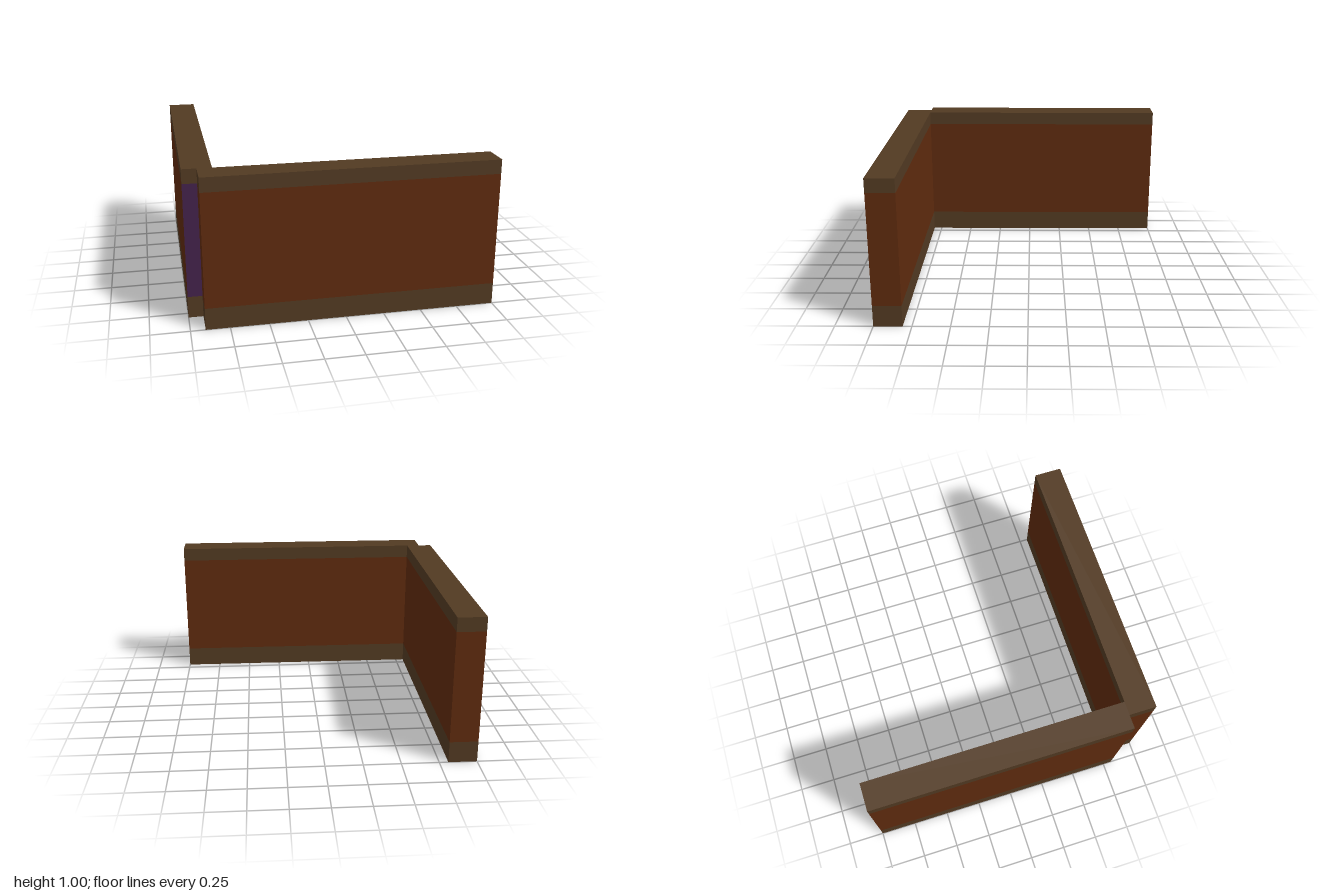
import * as THREE from 'three';

function flat(name, color) {
  const m = new THREE.MeshStandardMaterial({ color });
  m.name = name;
  return m;
}

export function createModel() {
  const trim = flat('brown trim', 0x523a22);
  const panel = flat('rust panel', 0x5f2b0e);
  const accent = flat('purple end', 0x43224a);

  const model = new THREE.Group();
  model.name = 'cornerWall';

  function block(parent, name, [x0, x1], [y0, y1], [z0, z1], material) {
    const mesh = new THREE.Mesh(new THREE.BoxGeometry(x1 - x0, y1 - y0, z1 - z0), material);
    mesh.position.set((x0 + x1) / 2, (y0 + y1) / 2, (z0 + z1) / 2);
    mesh.name = name;
    parent.add(mesh);
  }

  // A wall is a base band, a coloured panel and a top band, all flush
  function wall(name, xs, zs, panelMaterial) {
    const group = new THREE.Group();
    group.name = name;
    block(group, 'baseBand', xs, [0, 0.145], zs, trim);
    block(group, 'panel', xs, [0.145, 0.905], zs, panelMaterial);
    block(group, 'topBand', xs, [0.905, 1], zs, trim);
    model.add(group);
  }

  wall('frontWall', [-0.905, 1], [0.81, 1], panel);
  // Side wall: its front end is purple where it shows past the front wall
  wall('sideWall', [-1, -0.81], [-1, 0.81], [panel, panel, panel, panel, accent, panel]);

  return model;
}
